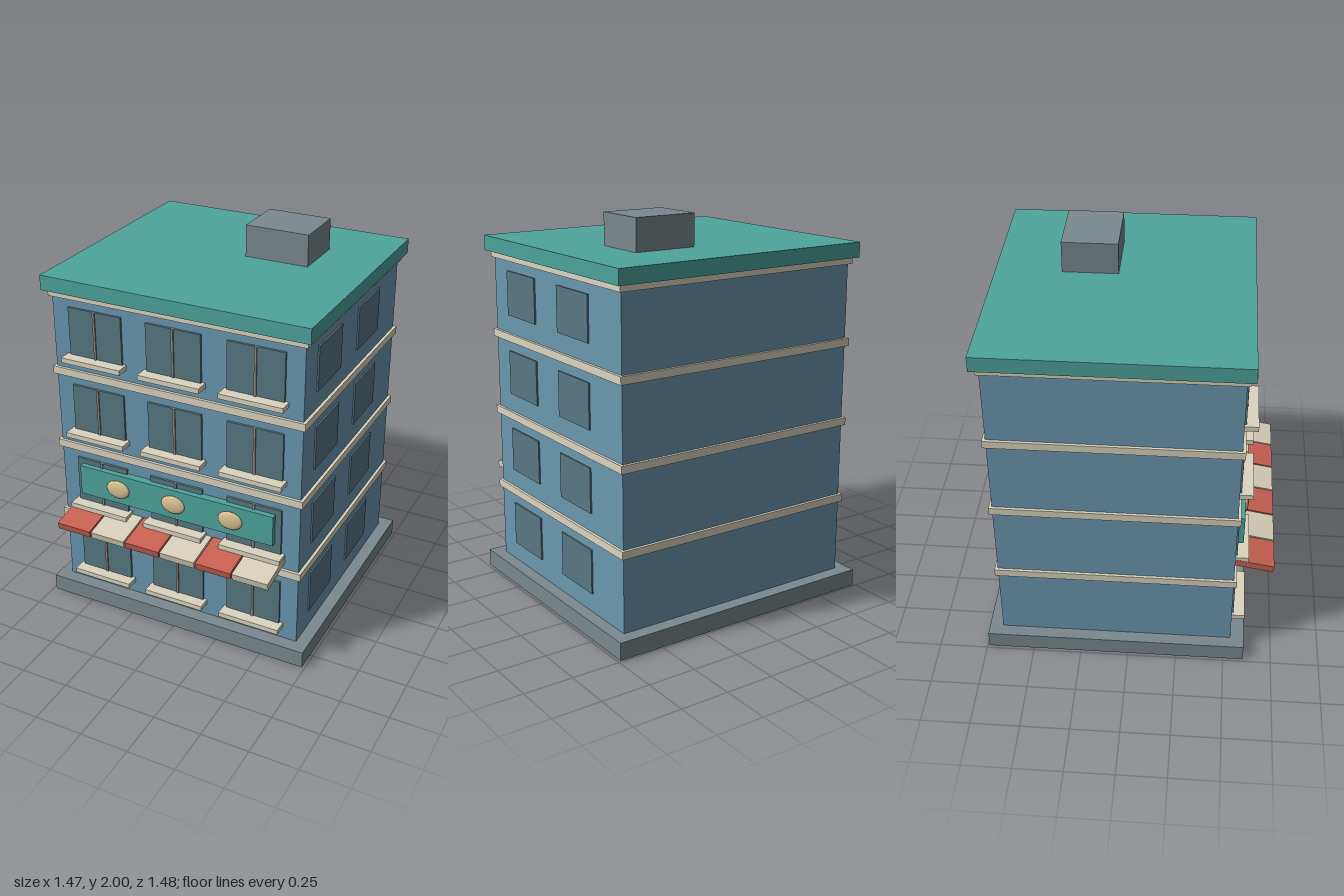
import * as THREE from 'three';

const mat = (color) => new THREE.MeshStandardMaterial({ color });

export function createModel() {
  const building = new THREE.Group();
  building.name = 'building';
  const wall = mat(0x6b98b0), stone = mat(0x7b898e), teal = mat(0x4ea59c), trim = mat(0xdcd5c0);
  const glass = mat(0x587883), bar = mat(0x8f8b80), red = mat(0xca6152), cream = mat(0xd8d0ba), gold = mat(0xdfc795);

  // Box given by its extents on each axis
  function box(name, material, [x0, x1], [y0, y1], [z0, z1], parent = building) {
    const mesh = new THREE.Mesh(new THREE.BoxGeometry(x1 - x0, y1 - y0, z1 - z0), material);
    mesh.position.set((x0 + x1) / 2, (y0 + y1) / 2, (z0 + z1) / 2);
    mesh.name = name;
    parent.add(mesh);
    return mesh;
  }

  // Main masses
  box('plinth', stone, [-0.735, 0.735], [0, 0.09], [-0.74, 0.605]);
  box('walls', wall, [-0.67, 0.67], [0.09, 1.76], [-0.67, 0.535]);
  box('roofSlab', teal, [-0.708, 0.708], [1.76, 1.837], [-0.71, 0.575]);
  box('roofHut', stone, [0.065, 0.4], [1.837, 2], [-0.38, -0.1]);

  const pitch = 0.418;
  for (let floor = 0; floor < 4; floor++) {
    const y = floor * pitch;

    // Trim band above each storey; the top one tucks under the roof
    box('floorBand', trim, [-0.685, 0.685], [y + 0.473, Math.min(y + 0.513, 1.76)], [-0.685, 0.55]);

    // Front windows with centre bar and sill
    for (const x of [-0.43, 0, 0.43]) {
      const frontWindow = new THREE.Group();
      frontWindow.name = 'frontWindow';
      building.add(frontWindow);
      box('pane', glass, [x - 0.147, x + 0.147], [y + 0.17, y + 0.43], [0.53, 0.547], frontWindow);
      box('centreBar', bar, [x - 0.006, x + 0.006], [y + 0.17, y + 0.43], [0.535, 0.554], frontWindow);
      box('sill', trim, [x - 0.165, x + 0.165], [y + 0.155, y + 0.181], [0.535, 0.605], frontWindow);
    }

    // Windows on the left side only
    for (const z of [-0.252, 0.252])
      box('sideWindow', glass, [0.665, 0.678], [y + 0.19, y + 0.42], [z - 0.142, z + 0.142]);
  }

  // Sign board with oval bosses
  box('signBoard', teal, [-0.545, 0.545], [0.655, 0.82], [0.535, 0.575]);
  for (const x of [-0.318, 0, 0.318]) {
    const boss = new THREE.Mesh(new THREE.SphereGeometry(1, 32, 20), gold);
    boss.name = 'signBoss';
    boss.scale.set(0.066, 0.05, 0.015);
    boss.position.set(x, 0.74, 0.581);
    building.add(boss);
  }

  // Striped awning, sloping down to the front
  for (let i = 0; i < 6; i++) {
    const panel = new THREE.Mesh(new THREE.BoxGeometry(0.192, 0.037, 0.2), i % 2 ? cream : red);
    panel.name = 'awningPanel';
    panel.position.set(-0.5 + i * 0.2, 0.548, 0.635);
    panel.rotation.x = 0.18;
    building.add(panel);
  }

  return building;
}
